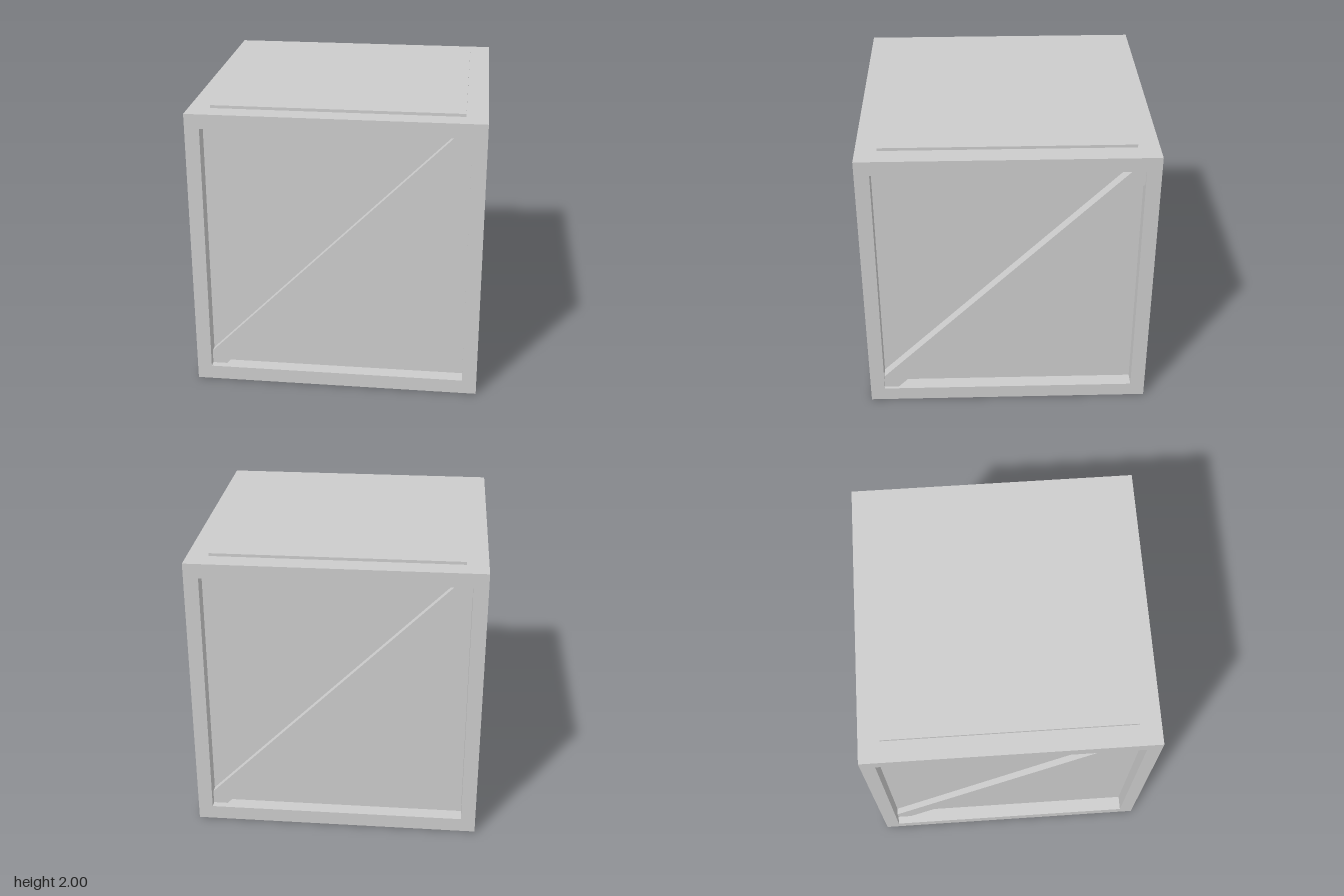
import * as THREE from 'three';

const material = new THREE.MeshStandardMaterial({ color: 0xcccccc, flatShading: true });

function box(name, w, h, d, x, y, z) {
  const mesh = new THREE.Mesh(new THREE.BoxGeometry(w, h, d), material);
  mesh.name = name;
  mesh.position.set(x, y, z);
  return mesh;
}

// Diagonal plank cut to fit the corners of a side opening
function brace(name, thickness, slip) {
  const shape = new THREE.Shape([
    [-0.89, 0.1], [-0.79, 0.1], [0.89, 1.795 - slip],
    [0.89, 1.88], [0.79 + slip, 1.88], [-0.89, 0.195],
  ].map(([x, y]) => new THREE.Vector2(x, y)));
  const geometry = new THREE.ExtrudeGeometry(shape, { depth: thickness, bevelEnabled: false });
  geometry.translate(0, 0, 0.89);
  const mesh = new THREE.Mesh(geometry, material);
  mesh.name = name;
  return mesh;
}

export function createModel() {
  const crate = new THREE.Group();
  crate.name = 'crate';

  // Recessed side panels
  crate.add(box('sidePanels', 1.78, 1.78, 1.78, 0, 0.99, 0));

  // Bottom and top rims, with the raised lid panel
  crate.add(box('base', 1.98, 0.1, 1.98, 0, 0.05, 0));
  crate.add(box('topRim', 1.98, 0.1, 1.98, 0, 1.93, 0));
  crate.add(box('lidPanel', 1.69, 0.02, 1.69, 0, 1.99, 0));

  // Corner posts
  for (const x of [-0.94, 0.94]) {
    for (const z of [-0.94, 0.94]) {
      crate.add(box('cornerPost', 0.1, 1.78, 0.1, x, 0.99, z));
    }
  }

  // One diagonal brace per side, rising to the right as seen from outside
  const sides = [['front', 0.05, 0], ['left', 0.08, 0.02], ['back', 0.05, 0], ['right', 0.045, 0]];
  sides.forEach(([side, thickness, slip], i) => {
    const plank = brace(side + 'Brace', thickness, slip);
    plank.rotation.y = i * Math.PI / 2;
    crate.add(plank);
  });

  return crate;
}
